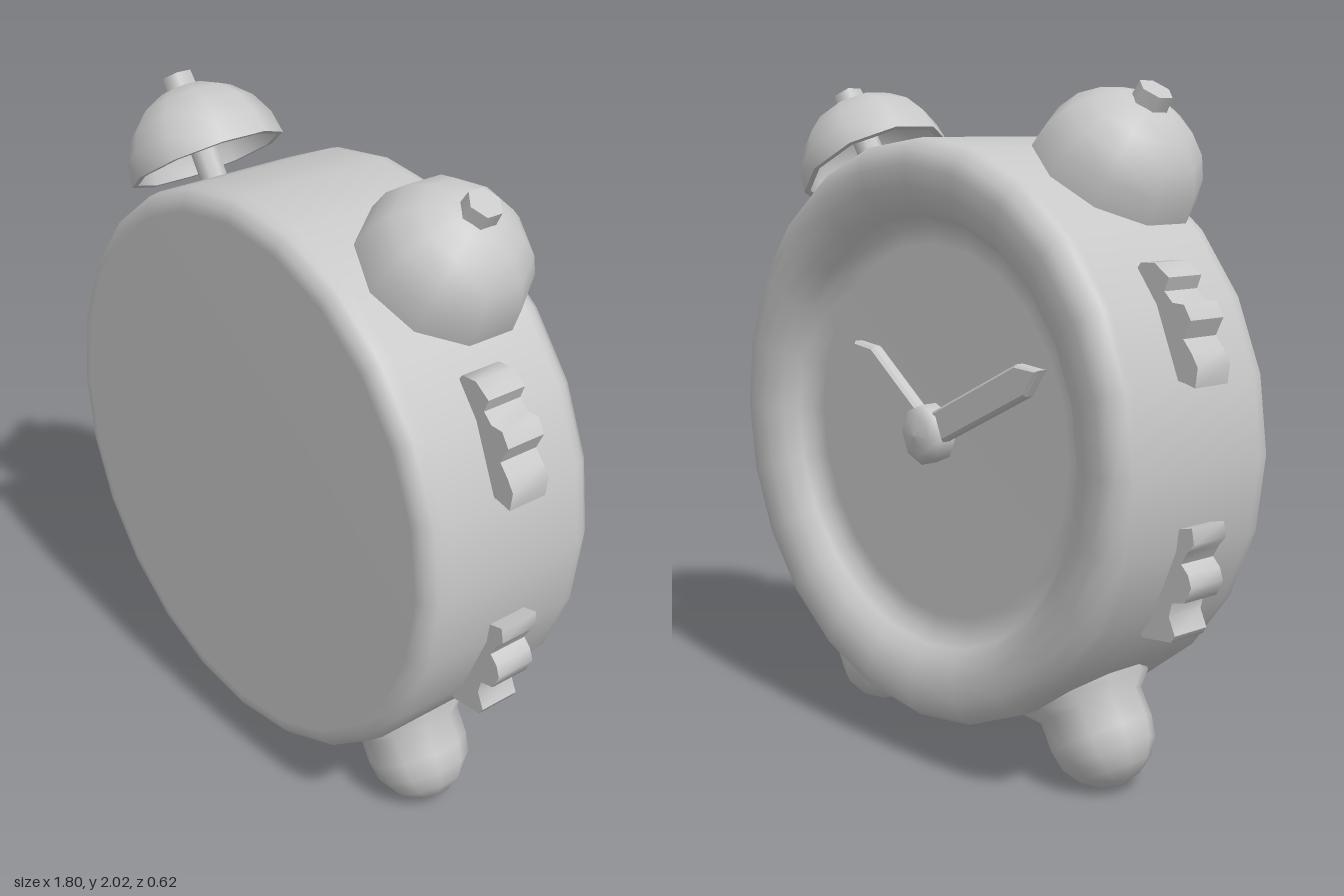
import * as THREE from 'three';
import { toCreasedNormals } from 'three/addons/utils/BufferGeometryUtils.js';

const grey = new THREE.MeshStandardMaterial({ color: 0xc8c8c8 });
grey.name = 'plain grey';

const lathe = (points, sides) =>
  new THREE.LatheGeometry(points.map(([r, y]) => new THREE.Vector2(r, y)), sides);

function part(name, geometry, parent) {
  const mesh = new THREE.Mesh(geometry, grey);
  mesh.name = name;
  parent.add(mesh);
  return mesh;
}

// Group at the body's centre whose +y axis points outwards, tilted from vertical
function radial(name, angle, parent) {
  const g = new THREE.Group();
  g.name = name;
  g.position.y = 1;
  g.rotation.z = angle;
  parent.add(g);
  return g;
}

// Hollow dome, stalk and top knob
function addBell(side, parent) {
  const bell = radial(side > 0 ? 'leftBell' : 'rightBell', -side * 0.58, parent);
  bell.position.set(side * 0.527, 1.767, 0);
  const outer = [], inner = [];
  for (let i = 0; i <= 5; i++) {
    const a = (i / 5) * Math.PI / 2;
    outer.push([0.245 * Math.cos(a), 0.235 * Math.sin(a)]);
    inner.unshift([0.225 * Math.cos(a), 0.215 * Math.sin(a)]);
  }
  part('bellDome', toCreasedNormals(lathe([...inner, ...outer], 10), 0.9), bell);
  part('bellStalk', new THREE.CylinderGeometry(0.042, 0.042, 0.4, 8), bell).position.y = 0.01;
  part('bellKnob', new THREE.CylinderGeometry(0.05, 0.055, 0.07, 6), bell).position.y = 0.235;
}

// Ball-ended foot with a flared collar against the body
function addFoot(side, parent) {
  const foot = radial(side > 0 ? 'leftFoot' : 'rightFoot', Math.PI + side * 0.54, parent);
  const profile = [[0, 0.78], [0.2, 0.8], [0.195, 0.86], [0.157, 0.9]];
  for (let i = 0; i <= 4; i++) {
    const a = (i / 4) * Math.PI / 2;
    profile.push([0.157 * Math.cos(a), 0.985 + 0.157 * Math.sin(a)]);
  }
  part('footBall', lathe(profile, 10), foot);
}

// Wavy grip: outline on the +x side, extruded along z
function gripGeometry(points) {
  const shape = new THREE.Shape(points.map(([x, y]) => new THREE.Vector2(x, y)));
  const g = new THREE.ExtrudeGeometry(shape, { depth: 0.13, bevelEnabled: false });
  g.translate(0, 0, -0.065);
  return toCreasedNormals(g, 1.0);
}

const upperGrip = [
  [0.66, 1.5], [0.76, 1.25], [0.85, 1.235], [0.89, 1.225], [0.897, 1.28], [0.875, 1.315],
  [0.845, 1.35], [0.87, 1.40], [0.845, 1.44], [0.805, 1.442], [0.776, 1.47],
  [0.79, 1.507], [0.74, 1.542], [0.69, 1.54],
];
const lowerGrip = [
  [0.68, 0.55], [0.72, 0.51], [0.825, 0.52], [0.838, 0.54], [0.815, 0.59], [0.825, 0.63],
  [0.87, 0.64], [0.892, 0.685], [0.88, 0.72], [0.855, 0.745], [0.875, 0.78], [0.898, 0.806],
  [0.89, 0.85], [0.845, 0.84], [0.78, 0.82],
];

// Pointed bar lying on the dial, from the hub to (x, y)
function addHand(name, x, y, z, parent) {
  const len = Math.hypot(x, y), w = 0.04;
  const shape = new THREE.Shape([
    [0, -w], [len - 0.07, -w], [len, 0], [len - 0.07, w], [0, w],
  ].map(([a, b]) => new THREE.Vector2(a, b)));
  const hand = part(name, new THREE.ExtrudeGeometry(shape, {
    depth: 0.025, bevelThickness: 0.01, bevelSize: 0.008, bevelSegments: 1,
  }), parent);
  hand.position.set(0, 1, z);
  hand.rotation.z = Math.atan2(y, x);
}

export function createModel() {
  const clock = new THREE.Group();
  clock.name = 'alarmClock';

  // Drum with a flat front and a recessed dial behind a rounded rim at the back
  const body = lathe([
    [0, -0.2], [0.56, -0.2], [0.615, -0.205], [0.645, -0.24], [0.675, -0.28], [0.73, -0.306],
    [0.79, -0.31], [0.835, -0.302], [0.863, -0.265], [0.866, -0.24], [0.866, 0.24],
    [0.86, 0.275], [0.835, 0.3], [0.8, 0.305], [0, 0.305],
  ], 24);
  body.rotateX(Math.PI / 2);
  part('body', body, clock).position.y = 1;

  // Dial hands and hub
  addHand('hourHand', 0.32, 0.24, -0.245, clock);
  addHand('minuteHand', -0.48, 0.24, -0.245, clock);
  const hub = lathe([[0, -0.285], [0.06, -0.278], [0.09, -0.255], [0.09, -0.19]], 8);
  hub.rotateX(Math.PI / 2);
  part('handHub', hub, clock).position.y = 1;

  // Mirrored bells, feet and side grips
  const upper = gripGeometry(upperGrip), lower = gripGeometry(lowerGrip);
  for (const side of [1, -1]) {
    addBell(side, clock);
    addFoot(side, clock);
    const grips = new THREE.Group();
    grips.name = side > 0 ? 'leftGrips' : 'rightGrips';
    if (side < 0) grips.rotation.y = Math.PI;
    part('upperGrip', upper, grips);
    part('lowerGrip', lower, grips);
    clock.add(grips);
  }
  return clock;
}
